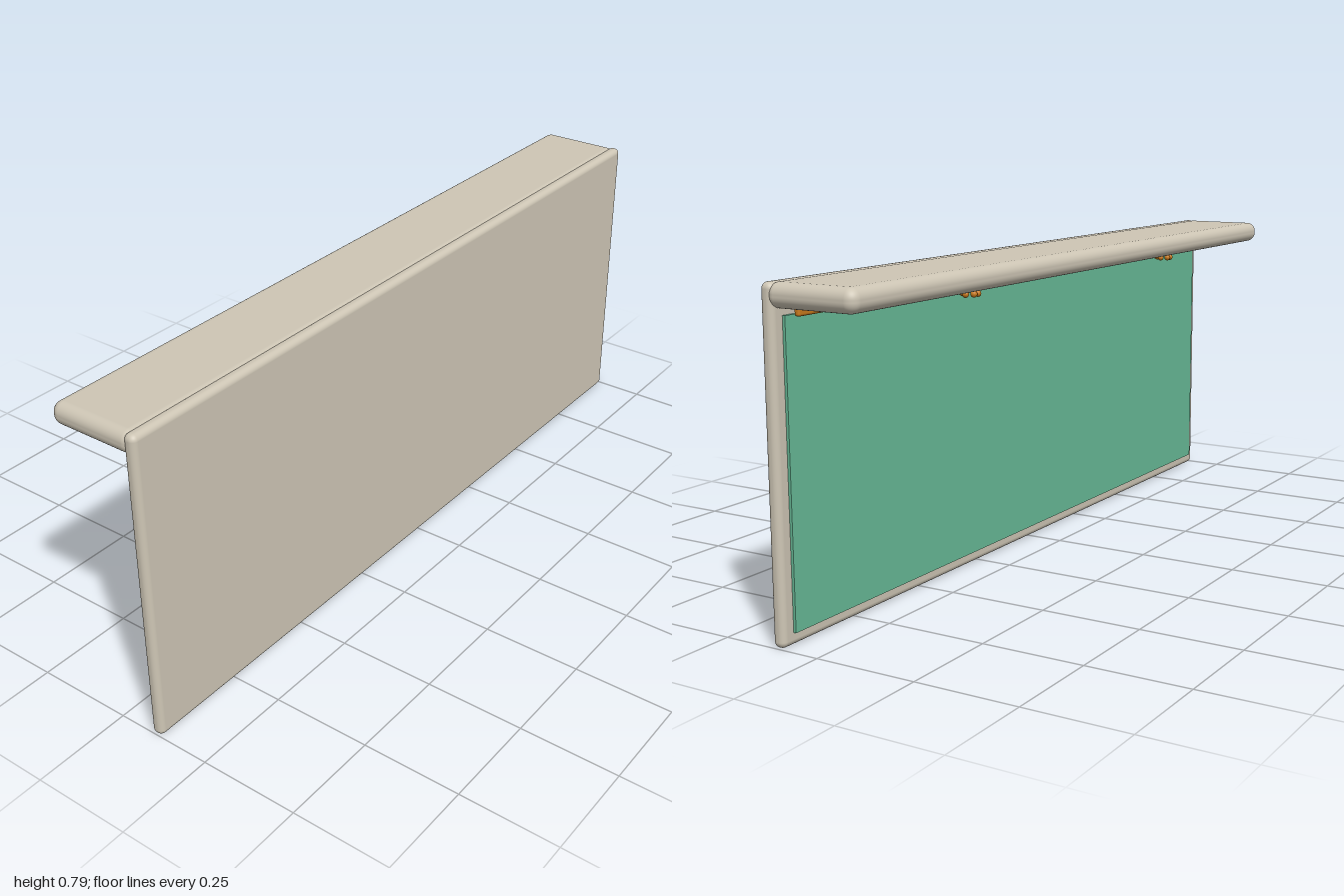
import * as THREE from 'three';
import { RoundedBoxGeometry } from 'three/addons/geometries/RoundedBoxGeometry.js';

const material = (name, color) => {
  const m = new THREE.MeshStandardMaterial({ color });
  m.name = name;
  return m;
};

export function createModel() {
  const stone = material('warmGrey', 0xcec6b5);
  const green = material('seaGreen', 0x68ba97);
  const amber = material('amber', 0xc97a1c);
  const model = new THREE.Group();
  model.name = 'panelWithShelf';

  const add = (parent, name, geometry, mat, x, y, z) => {
    const mesh = new THREE.Mesh(geometry, mat);
    mesh.name = name;
    mesh.position.set(x, y, z);
    parent.add(mesh);
    return mesh;
  };

  // Box given by its y and z limits, centred on x
  const slab = (name, mat, width, y0, y1, z0, z1, radius) => {
    const h = y1 - y0, d = z1 - z0;
    const geometry = radius
      ? new RoundedBoxGeometry(width, h, d, 6, radius)
      : new THREE.BoxGeometry(width, h, d);
    return add(model, name, geometry, mat, 0, (y0 + y1) / 2, (z0 + z1) / 2);
  };

  // Upright board, overhanging shelf and the panel on the board's back
  slab('frontBoard', stone, 2, 0, 0.785, 0.09, 0.122, 0.0145);
  slab('topShelf', stone, 2, 0.73, 0.785, -0.121, 0.11, 0.025);
  slab('backPanel', green, 1.934, 0.03, 0.714, 0.083, 0.095, 0);

  // Strip under the shelf
  slab('lightStrip', amber, 1.916, 0.712, 0.738, 0.053, 0.067, 0.0055);

  // Paw-shaped knobs: one pad and four toes
  const pad = new THREE.SphereGeometry(0.014, 24, 16);
  const toe = new THREE.SphereGeometry(0.008, 16, 12);
  for (const side of [-1, 1]) {
    const paw = new THREE.Group();
    paw.name = side > 0 ? 'leftPaw' : 'rightPaw';
    paw.position.set(0.49 * side, 0.718, -0.035);
    add(paw, 'pad', pad, amber, 0, 0.006, 0);
    for (const [x, z] of [[-0.021, -0.019], [-0.008, -0.033], [0.008, -0.033], [0.021, -0.019]])
      add(paw, 'toe', toe, amber, x, 0, z);
    model.add(paw);
  }
  return model;
}
